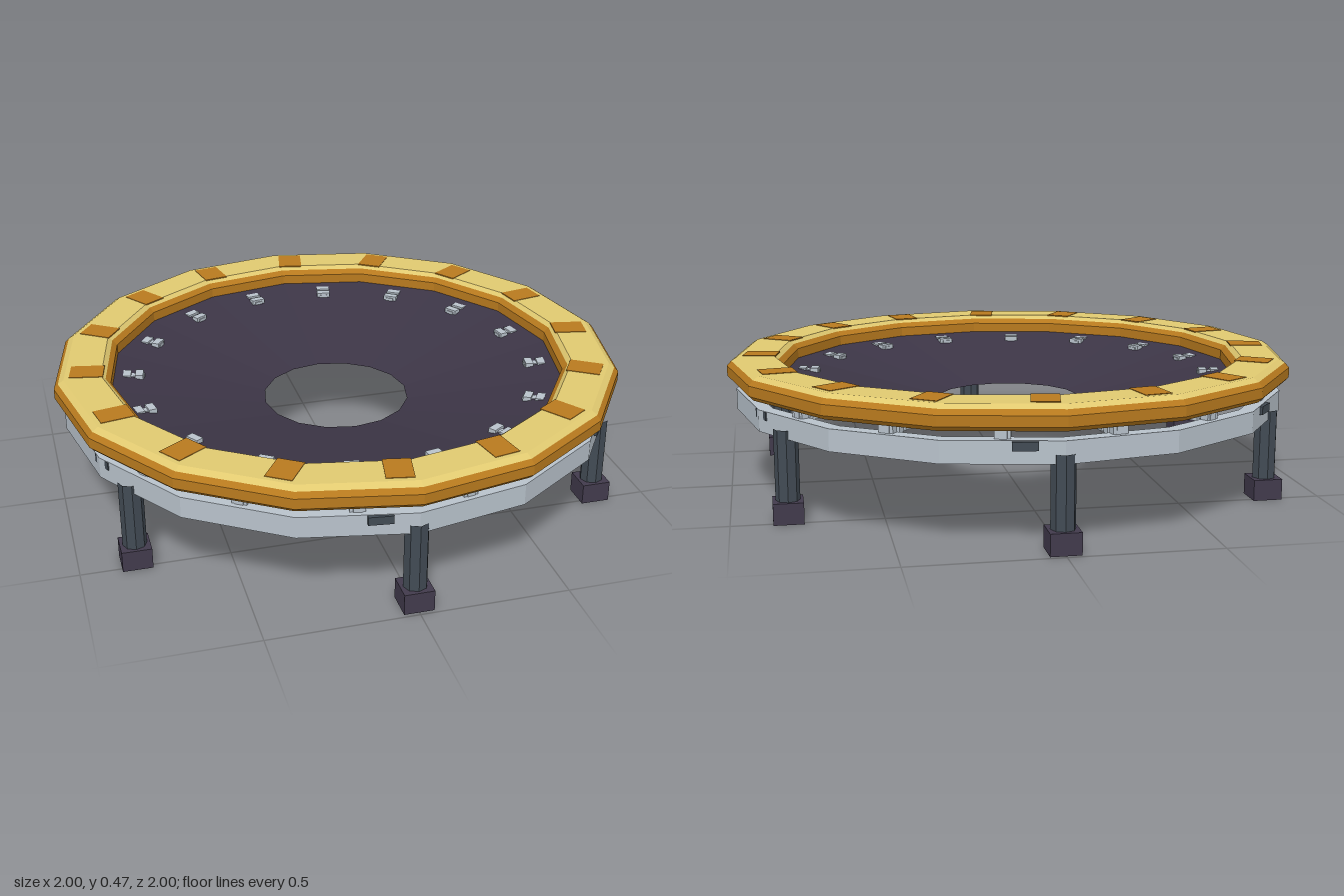
import * as THREE from 'three';

const SIDES = 16;

export function createModel() {
  const model = new THREE.Group();
  const paint = (name, color, side = THREE.FrontSide) => {
    const m = new THREE.MeshStandardMaterial({ color, side });
    m.name = name;
    return m;
  };
  const gold = paint('padGold', 0xe0c970);
  const brown = paint('padBrown', 0xb87a1e);
  const steel = paint('steel', 0xb8c2cb);
  const slate = paint('slate', 0x727c8c);
  const fabric = paint('darkFabric', 0x3c3546, THREE.DoubleSide);
  const rubber = paint('darkRubber', 0x413a4c);
  const darkSteel = paint('darkSteel', 0x424b54);

  // Faceted version of a geometry
  const faceted = (g) => {
    const f = g.index ? g.toNonIndexed() : g;
    f.computeVertexNormals();
    return f;
  };
  const add = (parent, name, geometry, material, x = 0, y = 0, z = 0) => {
    const mesh = new THREE.Mesh(geometry, material);
    mesh.name = name;
    mesh.position.set(x, y, z);
    parent.add(mesh);
    return mesh;
  };
  const ring = (name, profile, material) => add(model, name,
    faceted(new THREE.LatheGeometry(profile.map(([r, y]) => new THREE.Vector2(r, y)), SIDES)), material);
  // Group turned so that its +z points outward at the given angle
  const spoke = (name, angle) => {
    const g = new THREE.Group();
    g.name = name;
    g.rotation.y = angle;
    model.add(g);
    return g;
  };

  // Safety pad: gold top, brown sides and underside
  ring('padTop', [[0.985, 0.452], [0.965, 0.465], [0.837, 0.465], [0.822, 0.452]], gold);
  ring('padSides', [[0.822, 0.452], [0.805, 0.435], [0.805, 0.4], [0.82, 0.385],
    [0.985, 0.385], [1, 0.4], [1, 0.435], [0.985, 0.452]], brown);

  // Sagging mat with an open centre
  ring('mat', [[0.815, 0.402], [0.26, 0.285]], fabric);

  // Frame hoop: bright outside and top, slate inside, dark underside
  ring('frameOutside', [[0.97, 0.28], [0.97, 0.353], [0.92, 0.353]], steel);
  ring('frameInside', [[0.92, 0.353], [0.92, 0.28]], slate);
  ring('frameUnderside', [[0.92, 0.28], [0.97, 0.28]], darkSteel);

  // Pad straps and springs, one per side
  const strap = new THREE.BoxGeometry(0.09, 0.004, 0.116);
  const rod = new THREE.BoxGeometry(0.028, 0.036, 0.25);
  const coil = new THREE.BoxGeometry(0.05, 0.05, 0.028);
  for (let i = 0; i < SIDES; i++) {
    const side = spoke('padSection', (i + 0.5) * Math.PI * 2 / SIDES);
    add(side, 'strap', strap, brown, 0.128, 0.465, 0.872);
    add(side, 'springRod', rod, steel, 0, 0.37, 0.81);
    for (let k = 0; k < 6; k++) add(side, 'springCoil', coil, steel, 0, 0.37, 0.703 + k * 0.043);
  }

  // Octagonal leg post whose sides alternate between dark and bright
  const post = faceted(new THREE.CylinderGeometry(0.04, 0.04, 0.21, 8, 1, true));
  for (let s = 0; s < 8; s++) post.addGroup(s * 6, 6, s % 2);

  // Six legs with dark collars and square feet, and a joint clip beside each
  const collar = faceted(new THREE.CylinderGeometry(0.04, 0.04, 0.03, 8));
  const foot = new THREE.BoxGeometry(0.1, 0.072, 0.1);
  const clip = new THREE.BoxGeometry(0.08, 0.028, 0.03);
  for (let i = 0; i < 6; i++) {
    const a = i * Math.PI / 3;
    const x = Math.sin(a) * 0.938, z = Math.cos(a) * 0.938;
    add(model, 'leg', post, [darkSteel, steel], x, 0.205, z);
    add(model, 'legCollar', collar, darkSteel, x, 0.086, z);
    add(model, 'foot', foot, rubber, x, 0.036, z);
    add(spoke('joint', a - 0.125), 'clip', clip, darkSteel, 0, 0.337, 0.95);
  }
  return model;
}
